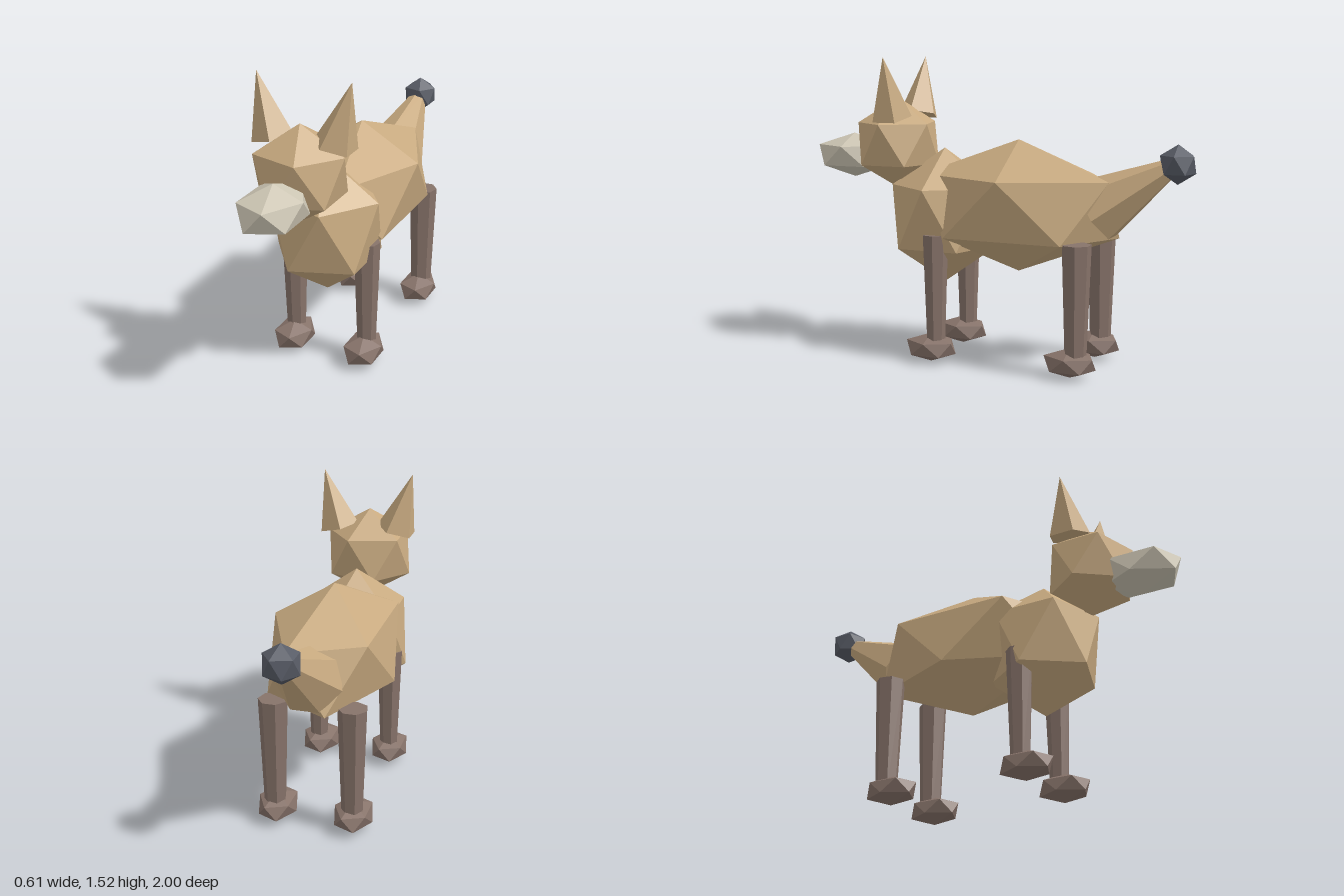
import * as THREE from 'three';

const material = (name, color) => {
  const m = new THREE.MeshStandardMaterial({ color, flatShading: true });
  m.name = name;
  return m;
};

// Twenty-sided ball with a vertex at each pole, stretched to the given radii
function gemGeometry(rx, ry, rz) {
  const points = [0, ry, 0, 0, -ry, 0];
  const faces = [];
  const ringY = 1 / Math.sqrt(5), ringR = 2 / Math.sqrt(5);
  for (let k = 0; k < 5; k++) {
    for (const level of [1, -1]) {
      const a = (k * 2 + (level < 0 ? 1 : 0)) * Math.PI / 5;
      points.push(Math.cos(a) * ringR * rx, level * ringY * ry, Math.sin(a) * ringR * rz);
    }
    const u = 2 + k * 2, l = u + 1;
    const u2 = 2 + ((k + 1) % 5) * 2, l2 = u2 + 1;
    faces.push(0, u2, u, u, u2, l, l, u2, l2, 1, l, l2);
  }
  const g = new THREE.BufferGeometry();
  g.setAttribute('position', new THREE.Float32BufferAttribute(points, 3));
  g.setIndex(faces);
  const flat = g.toNonIndexed();
  flat.computeVertexNormals();
  return flat;
}

export function createModel() {
  const model = new THREE.Group();
  model.name = 'fox';
  const fur = material('tan fur', 0xc8aa80);
  const legFur = material('brown leg', 0x87736a);
  const muzzleFur = material('pale muzzle', 0xcdc6b4);
  const tipFur = material('dark tail tip', 0x585c66);

  const add = (name, geometry, mat) => {
    const mesh = new THREE.Mesh(geometry, mat);
    mesh.name = name;
    model.add(mesh);
    return mesh;
  };
  const gem = (name, mat, center, radii) =>
    add(name, gemGeometry(...radii), mat).position.set(...center);

  // Tapered prism running from point a to point b
  const taper = (name, mat, a, b, ra, rb, sides, start = 0) => {
    const from = new THREE.Vector3(...a), to = new THREE.Vector3(...b);
    const dir = to.clone().sub(from);
    const g = new THREE.CylinderGeometry(rb, ra, dir.length(), sides, 1, false, start);
    const mesh = add(name, g, mat);
    mesh.position.copy(from).add(to).multiplyScalar(0.5);
    mesh.quaternion.setFromUnitVectors(new THREE.Vector3(0, 1, 0), dir.normalize());
  };

  // Trunk and head
  gem('body', fur, [0, 0.79, -0.12], [0.34, 0.33, 0.58]);
  gem('chest', fur, [0, 0.72, 0.285], [0.3, 0.345, 0.305]);
  gem('head', fur, [0, 1.08, 0.55], [0.245, 0.235, 0.232]);
  gem('muzzle', muzzleFur, [0, 1.01, 0.81], [0.163, 0.115, 0.223]);

  // Tail
  taper('tail', fur, [0, 0.79, -0.53], [0, 1.02, -0.9], 0.165, 0.04, 7);
  gem('tailTip', tipFur, [0, 1.027, -0.919], [0.095, 0.095, 0.095]);

  for (const side of [1, -1]) {
    const label = side > 0 ? 'left' : 'right';
    // Ears lean outward with a flat outer face
    taper(label + 'Ear', fur, [side * 0.155, 1.22, 0.508], [side * 0.235, 1.52, 0.508],
      0.105, 0, 5, -side * Math.PI / 2);
    // Legs and paws
    for (const [end, legZ, pawZ, top, bottom] of [
      ['Front', 0.25, 0.277, 0.066, 0.046],
      ['Hind', -0.49, -0.461, 0.073, 0.053],
    ]) {
      taper(label + end + 'Leg', legFur, [side * 0.195, 0.07, legZ], [side * 0.195, 0.65, legZ],
        bottom, top, 7);
      gem(label + end + 'Paw', legFur, [side * 0.192, 0.073, pawZ], [0.105, 0.073, 0.144]);
    }
  }
  return model;
}
